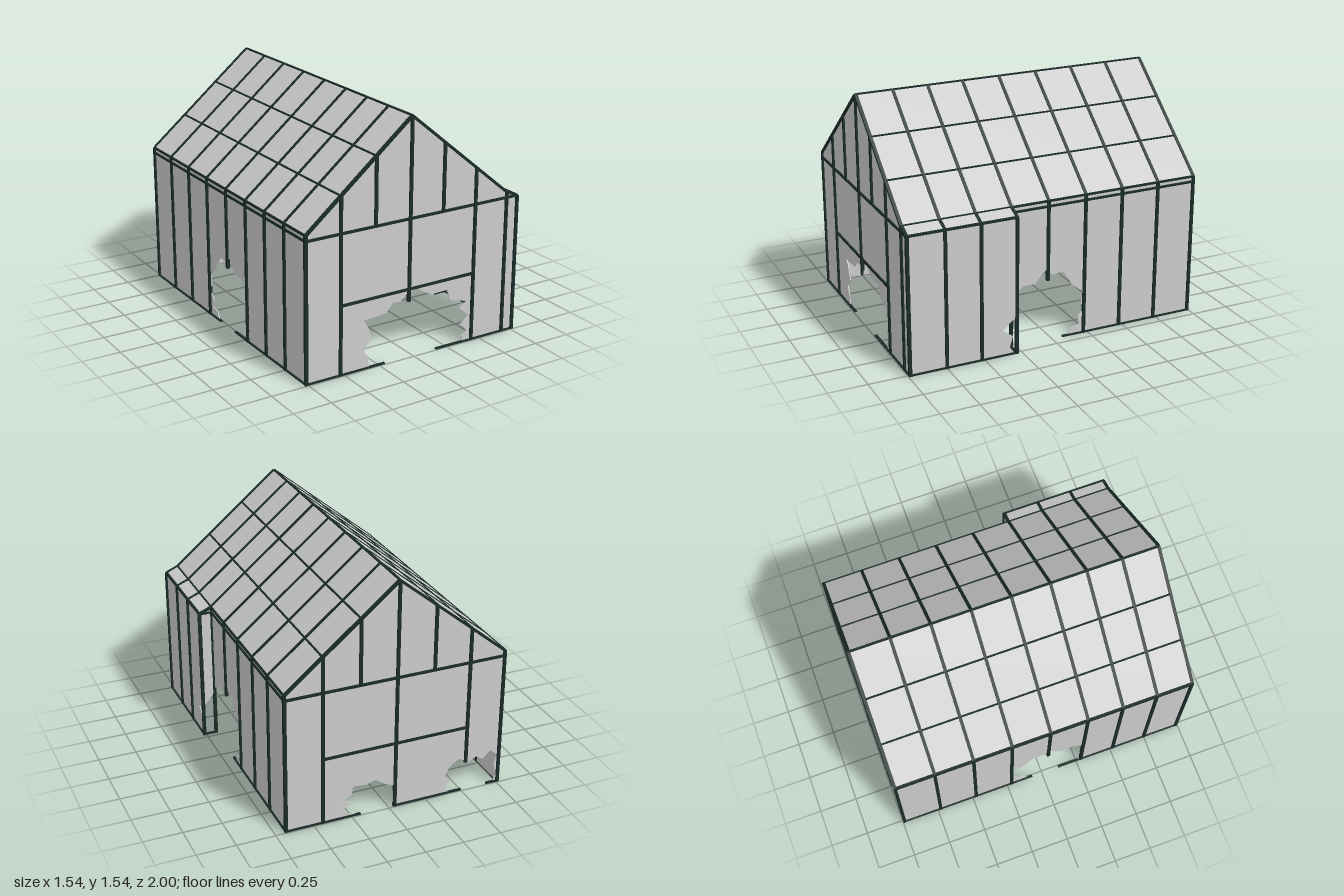
import * as THREE from 'three';

const glassMat = new THREE.MeshStandardMaterial({ color: 0xcccccc, side: THREE.DoubleSide });
const frameMat = new THREE.MeshStandardMaterial({ color: 0x1a2c28 });

const L = -0.76, R = 0.68, X = 0.762, RIDGE = -0.04; // left wall, right wall, bay wall, ridge
const EAVE = 0.935, RAIL = 0.9, TOP = 1.53, END = 0.988, BAY = 0.285;
const T = 0.006; // glass thickness
const posts = [END, 0.75, 0.52, BAY, 0.035, -0.22, -0.475, -0.73, -END];
const roofY = x => x <= RIDGE
  ? TOP - (TOP - EAVE) * (RIDGE - x) / (RIDGE - L)
  : x <= R ? TOP - (TOP - EAVE) * (x - RIDGE) / (R - RIDGE) : EAVE - (EAVE - RAIL) * (x - R) / (X - R);

// Jagged breaks, listed from low to high coordinate, as notches in the lower edge
const frontBreak = [[-0.32, 0], [-0.33, 0.07], [-0.36, 0.13], [-0.3, 0.19], [-0.33, 0.27], [-0.36, 0.32],
  [-0.29, 0.32], [-0.2, 0.33], [-0.15, 0.385], [-0.1, 0.38], [-0.05, 0.42], [0.02, 0.44], [0.13, 0.375], [0.25, 0.38],
  [0.27, 0.31], [0.4, 0.27], [0.35, 0.23], [0.42, 0.17], [0.36, 0.12], [0.41, 0.07], [0.37, 0.04], [0.37, 0]];
const backCornerBreak = [[-0.73, 0], [-0.75, 0.06], [-0.73, 0.13], [-0.75, 0.2], [-0.7, 0.24], [-0.65, 0.19], [-0.6, 0.22],
  [-0.55, 0.19], [-0.48, 0.23], [-0.42, 0.19], [-0.38, 0.12], [-0.42, 0.09], [-0.39, 0.04], [-0.42, 0]];
const backBreak = [[-0.03, 0], [-0.03, 0.15], [0.02, 0.17], [0.09, 0.22], [0.15, 0.2], [0.24, 0.21], [0.25, 0.15],
  [0.31, 0.12], [0.25, 0.1], [0.31, 0.06], [0.27, 0.02], [0.18, 0]];
const sideBreak = [[-0.1, 0], [-0.13, 0.05], [-0.19, 0.06], [-0.18, 0.12], [-0.23, 0.17], [-0.2, 0.21], [-0.21, 0.29],
  [-0.13, 0.35], [-0.12, 0.38], [-0.07, 0.45], [0, 0.44], [0.05, 0.48], [0.08, 0.45], [0.12, 0.4], [0.2, 0.4]];
const leftBreak = [...sideBreak, [0.28, 0.34], [0.3, 0.22], [0.27, 0.15], [0.3, 0.08], [0.26, 0]];
const bayBreak = [[BAY, 0.22], [0.31, 0.23], [0.38, 0.17], [0.31, 0.12], [0.33, 0.05], [0.3, 0]];

export function createModel() {
  const model = new THREE.Group();
  const glazing = new THREE.Group(), frame = new THREE.Group();
  glazing.name = 'glazing';
  frame.name = 'frame';
  model.add(glazing, frame);

  // Flat glass sheet from an outline
  const sheet = (name, points) => {
    const shape = new THREE.Shape(points.map(p => new THREE.Vector2(p[0], p[1])));
    const geo = new THREE.ExtrudeGeometry(shape, { depth: T, bevelEnabled: false });
    const mesh = new THREE.Mesh(geo.translate(0, 0, -T / 2), glassMat);
    mesh.name = name;
    glazing.add(mesh);
    return mesh;
  };
  // Sheet whose outline is given in z and y
  const sideSheet = (name, x, points) => {
    const mesh = sheet(name, points);
    mesh.rotation.y = -Math.PI / 2;
    mesh.position.x = x;
  };
  // Straight bar between two points
  const bar = (name, a, b, w = 0.02, h = w) => {
    const from = new THREE.Vector3(...a), to = new THREE.Vector3(...b);
    const mesh = new THREE.Mesh(new THREE.BoxGeometry(w, h, from.distanceTo(to)), frameMat);
    mesh.position.copy(from).lerp(to, 0.5);
    mesh.lookAt(to);
    mesh.name = name;
    frame.add(mesh);
  };

  // Glass walls
  sheet('frontGlass', [[L, 0], ...frontBreak, [X, 0], [X, RAIL], [R, EAVE], [RIDGE, TOP], [L, EAVE]]).position.z = END - 0.005;
  sheet('backGlass', [[L, 0], ...backCornerBreak, ...backBreak, [R, 0], [R, EAVE], [RIDGE, TOP], [L, EAVE]])
    .position.z = -END + 0.005;
  sideSheet('leftSideGlass', L + 0.005, [[-END, 0], ...leftBreak, [END, 0], [END, EAVE], [-END, EAVE]]);
  sideSheet('mainSideGlass', R - 0.005, [[-END, 0], ...sideBreak, [BAY, 0.34], [BAY, EAVE], [-END, EAVE]]);
  sideSheet('bayGlass', X - 0.005, [...bayBreak, [END, 0], [END, RAIL], [BAY, RAIL]]);
  sheet('bayEndGlass', [[R, 0.32], [R + 0.04, 0.26], [X, 0.22], [X, RAIL], [R, EAVE]]).position.z = BAY;

  // Glass roof slopes
  const slope = (name, x0, x1, z0, z1) => {
    const dx = x1 - x0, dy = roofY(x1) - roofY(x0);
    const mesh = new THREE.Mesh(new THREE.BoxGeometry(Math.hypot(dx, dy), T, z1 - z0), glassMat);
    mesh.position.set((x0 + x1) / 2, (roofY(x0) + roofY(x1)) / 2, (z0 + z1) / 2);
    mesh.rotation.z = Math.atan2(dy, dx);
    mesh.name = name;
    glazing.add(mesh);
  };
  slope('roofSlope', L, RIDGE, -END, END);
  slope('roofSlope', RIDGE, R, -END, END);
  slope('bayRoof', R, X, BAY, END);

  // Side posts and rafters
  for (const z of posts) {
    const foot = z === 0.035 ? 0.41 : 0;
    const inBay = z >= BAY;
    bar('sidePost', [L, foot, z], [L, EAVE, z]);
    if (!inBay || z === BAY || z === END) bar('sidePost', [R, foot, z], [R, EAVE, z]);
    if (inBay) {
      bar('bayPost', [X, 0, z], [X, RAIL, z]);
      bar('bayRafter', [R, EAVE, z], [X, RAIL, z], 0.02, 0.014);
    }
    bar('rafter', [L, EAVE, z], [RIDGE, TOP, z], 0.02, 0.016);
    bar('rafter', [R, EAVE, z], [RIDGE, TOP, z], 0.02, 0.016);
  }

  // Purlins, ridge and eaves
  for (const x of [L, -0.525, -0.285, RIDGE, 0.2, 0.44, R])
    bar('purlin', [x, roofY(x), -END], [x, roofY(x), END], 0.014, 0.013);

  // Wall-top rails
  bar('wallRail', [L, RAIL, -END], [L, RAIL, END], 0.014);
  bar('wallRail', [R, RAIL, -END], [R, RAIL, BAY], 0.014);
  bar('bayRail', [X, RAIL, BAY], [X, RAIL, END], 0.014);
  bar('bayEndRail', [R, RAIL, BAY], [X, RAIL, BAY], 0.014);

  // Gable posts and rails
  for (const z of [END, -END]) {
    const front = z > 0;
    const feet = [[-0.525, front ? 0 : 0.2], [-0.285, RAIL], [RIDGE, front ? 0.37 : 0], [0.2, RAIL], [0.44, 0]];
    for (const [x, y] of feet) bar('gablePost', [x, y, z], [x, roofY(x), z]);
    bar('gableRail', [L, RAIL, z], [front ? X : R, RAIL, z], 0.016);
    bar('gableMidRail', [-0.525, 0.45, z], [0.44, 0.45, z], 0.016);
  }

  // Broken sill along the ground
  const sillX = (x0, x1, z) => bar('sill', [x0, 0.005, z], [x1, 0.005, z], 0.016, 0.01);
  const sillZ = (z0, z1, x) => bar('sill', [x, 0.005, z0], [x, 0.005, z1], 0.016, 0.01);
  sillX(L, -0.21, END);
  sillX(0.17, X, END);
  sillX(L, -0.68, -END);
  sillX(-0.5, -0.03, -END);
  sillX(0.19, R, -END);
  sillX(R, X, BAY);
  sillZ(-END, -0.07, L);
  sillZ(0.12, END, L);
  sillZ(-END, -0.07, R);
  sillZ(BAY, END, X);

  return model;
}
